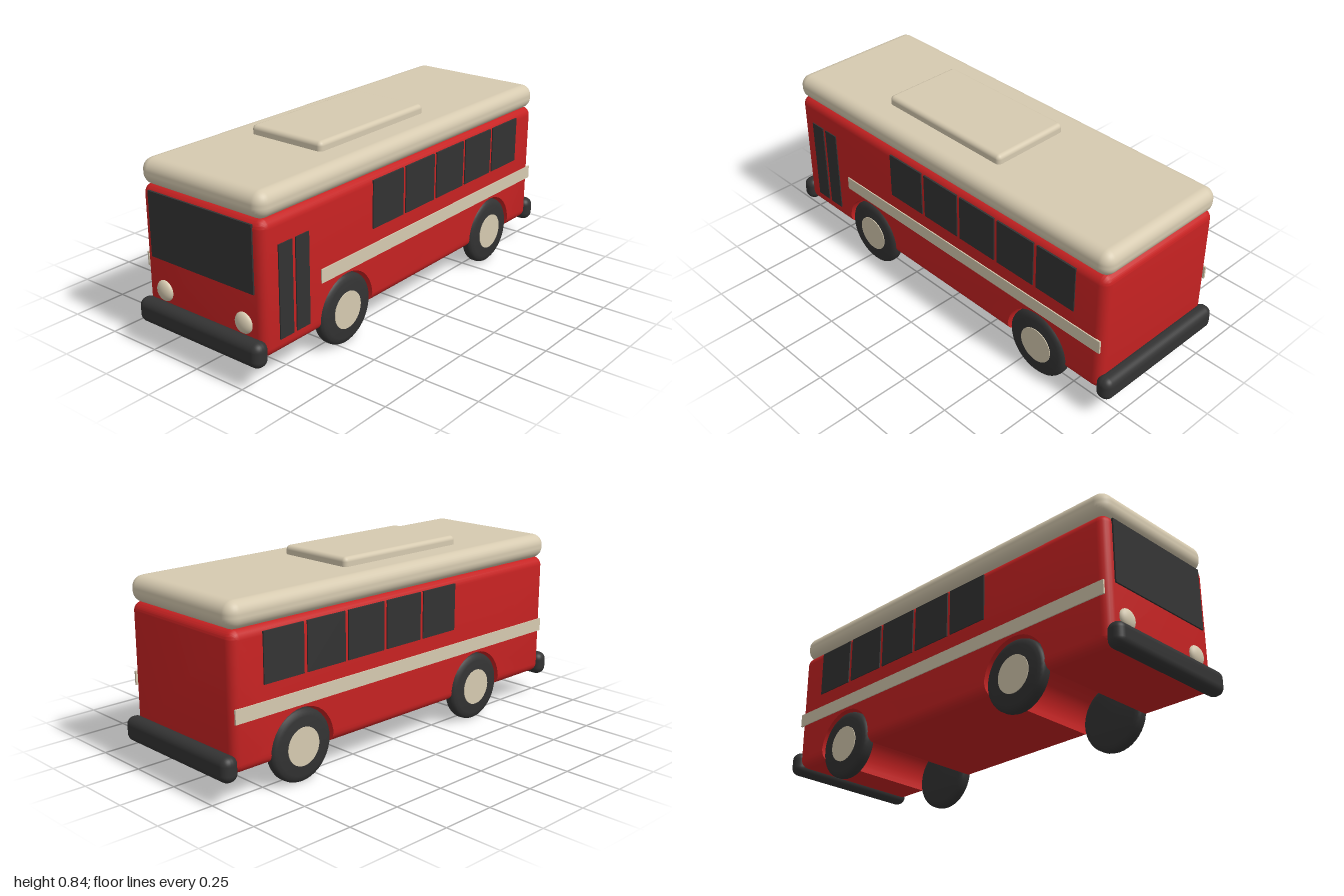
import * as THREE from 'three';
import { toCreasedNormals } from 'three/addons/utils/BufferGeometryUtils.js';
import { RoundedBoxGeometry } from 'three/addons/geometries/RoundedBoxGeometry.js';

const paint = (name, color) => Object.assign(new THREE.MeshStandardMaterial({ color }), { name });

const WHEEL_Z = [0.46, -0.6], WHEEL_Y = 0.155, WHEEL_R = 0.155, ARCH_R = 0.166;
const HALF_W = 0.328, BOTTOM = 0.125, TOP = 0.695, HALF_L = 0.945, EDGE = 0.04;

// Rounded body shell with wheel arches running right across it
function bodyGeometry() {
  const s = new THREE.Shape();
  const dip = Math.asin((WHEEL_Y - BOTTOM) / ARCH_R);
  const zi = HALF_L - EDGE, yb = BOTTOM + EDGE, yt = TOP - EDGE;
  s.moveTo(-zi, BOTTOM);
  for (const z of [...WHEEL_Z].reverse()) s.absarc(z, WHEEL_Y, ARCH_R, Math.PI + dip, -dip, true);
  s.absarc(zi, yb, EDGE, -Math.PI / 2, 0, false);
  s.absarc(zi, yt, EDGE, 0, Math.PI / 2, false);
  s.absarc(-zi, yt, EDGE, Math.PI / 2, Math.PI, false);
  s.absarc(-zi, yb, EDGE, Math.PI, Math.PI * 1.5, false);

  // Slices near both sides shrink the outline to round the long edges
  const seg = 5, steps = seg * 2 + 1;
  const g = new THREE.ExtrudeGeometry(s, { depth: 1, steps, curveSegments: 10, bevelEnabled: false });
  const p = g.attributes.position;
  for (let i = 0; i < p.count; i++) {
    const level = Math.round(p.getZ(i) * steps);
    const k = Math.min(level, steps - level);
    const a = (k / seg) * Math.PI / 2;
    const side = HALF_W - EDGE * (1 - Math.cos(a));
    const limit = EDGE * Math.sin(a);
    const cz = THREE.MathUtils.clamp(p.getX(i), -zi, zi);
    const cy = THREE.MathUtils.clamp(p.getY(i), yb, yt);
    const dz = p.getX(i) - cz, dy = p.getY(i) - cy;
    const len = Math.hypot(dz, dy);
    const f = len > limit ? limit / len : 1;
    p.setXYZ(i, cz + dz * f, cy + dy * f, level * 2 < steps ? -side : side);
  }
  g.rotateY(-Math.PI / 2);
  return toCreasedNormals(g, 0.6);
}

// Tyre cross-section turned around the axle, outer face towards +x
function tyreGeometry() {
  const pts = [[0, -0.03], [0.125, -0.03], [0.142, -0.026], [0.152, -0.018], [WHEEL_R, -0.01],
    [WHEEL_R, 0.01], [0.152, 0.018], [0.142, 0.026], [0.125, 0.03], [0, 0.03]];
  const g = new THREE.LatheGeometry(pts.map(([r, y]) => new THREE.Vector2(r, y)), 40);
  return toCreasedNormals(g.rotateZ(-Math.PI / 2), 0.7);
}

export function createModel() {
  const red = paint('red paint', 0xc62222);
  const cream = paint('cream paint', 0xd6cab0);
  const dark = paint('dark glass and rubber', 0x333333);

  const bus = new THREE.Group();
  bus.name = 'bus';
  const add = (name, geometry, material, x = 0, y = 0, z = 0) => {
    const m = new THREE.Mesh(geometry, material);
    m.name = name;
    m.position.set(x, y, z);
    bus.add(m);
    return m;
  };
  // Thin plate on a side wall, spanning z0..z1 and y0..y1
  const sidePlate = (name, material, side, z0, z1, y0, y1) =>
    add(name, new THREE.BoxGeometry(0.008, y1 - y0, z1 - z0), material,
      side * 0.329, (y0 + y1) / 2, (z0 + z1) / 2);

  add('body', bodyGeometry(), red);

  // Roof and its hatch
  add('roof', new RoundedBoxGeometry(0.662, 0.113, 1.9, 4, 0.05), cream, 0, 0.7465, 0);
  add('roofHatch', new RoundedBoxGeometry(0.38, 0.06, 0.69, 4, 0.02), cream, 0, 0.813, 0.11);

  // Bumpers
  for (const [name, end] of [['frontBumper', 1], ['rearBumper', -1]])
    add(name, new RoundedBoxGeometry(0.676, 0.108, 0.076, 4, 0.035), dark, 0, 0.156, end * 0.962);

  // Windscreen and headlights
  add('windscreen', new THREE.BoxGeometry(0.562, 0.283, 0.009), dark, 0, 0.535, 0.9475);
  for (const side of [-1, 1])
    add('headlight', new THREE.SphereGeometry(0.045, 28, 18), cream, side * 0.22, 0.257, 0.945)
      .scale.z = 0.5;

  // Side windows and stripes
  for (const side of [-1, 1]) {
    for (let i = 0; i < 5; i++) {
      const z = 0.194 - i * 0.222;
      sidePlate('sideWindow', dark, side, z - 0.102, z + 0.102, 0.46, 0.67);
    }
    sidePlate('stripe', cream, side, -0.938, side > 0 ? 0.62 : 0.93, 0.333, 0.393);
  }

  // Entrance door leaves, on the left side only
  for (const z of [0.825, 0.73])
    sidePlate('doorLeaf', dark, 1, z - 0.038, z + 0.038, 0.187, 0.582);

  // Wheels with hubcaps on the outer faces
  const tyre = tyreGeometry();
  const hub = new THREE.CylinderGeometry(0.082, 0.082, 0.008, 32).rotateZ(Math.PI / 2);
  for (const z of WHEEL_Z) for (const side of [-1, 1]) {
    add('tyre', tyre, dark, side * 0.3, WHEEL_Y, z);
    add('hubcap', hub, cream, side * 0.329, WHEEL_Y, z);
  }
  return bus;
}
